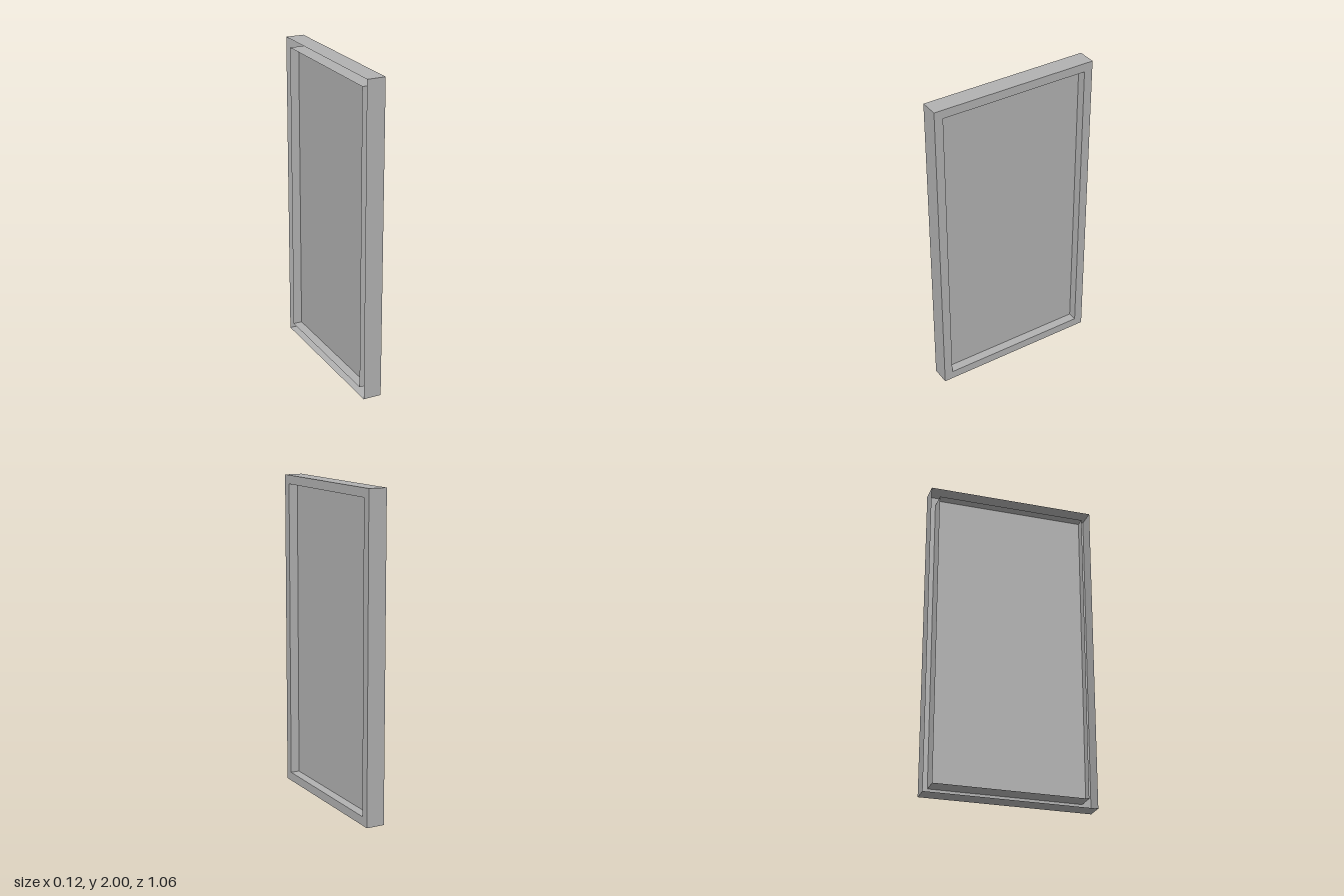
import * as THREE from 'three';

const DEPTH = 0.116, HEIGHT = 2, WIDTH = 1.06, BORDER = 0.055;

export function createModel() {
  const group = new THREE.Group();
  const grey = new THREE.MeshStandardMaterial({ color: 0xb2b2b2, side: THREE.DoubleSide });
  grey.name = 'plain grey';

  const add = (name, geometry) => {
    const mesh = new THREE.Mesh(geometry, grey);
    mesh.name = name;
    group.add(mesh);
    return mesh;
  };

  // Four thin walls around a rectangle; dir = 1 faces outward, -1 faces inward
  const sleeve = (name, w, h, dir) => {
    for (const s of [1, -1]) {
      const side = add(name + (s > 0 ? 'FrontWall' : 'BackWall'), new THREE.PlaneGeometry(DEPTH, h));
      side.rotation.y = s * dir > 0 ? 0 : Math.PI;
      side.position.set(0, HEIGHT / 2, s * w / 2);

      const level = add(name + (s > 0 ? 'TopWall' : 'BottomWall'), new THREE.PlaneGeometry(DEPTH, w));
      level.rotation.x = -s * dir * Math.PI / 2;
      level.position.set(0, HEIGHT / 2 + s * h / 2, 0);
    }
  };

  const innerW = WIDTH - 2 * BORDER, innerH = HEIGHT - 2 * BORDER;
  sleeve('outer', WIDTH, HEIGHT, 1);
  sleeve('recess', innerW, innerH, -1);

  // Frame border on the +x side; the -x side of the frame is open
  const rect = (Type, w, h) => new Type([
    new THREE.Vector2(-w / 2, -h / 2), new THREE.Vector2(w / 2, -h / 2),
    new THREE.Vector2(w / 2, h / 2), new THREE.Vector2(-w / 2, h / 2),
  ]);
  const border = rect(THREE.Shape, WIDTH, HEIGHT);
  border.holes.push(rect(THREE.Path, innerW, innerH));
  const face = add('frameBorder', new THREE.ShapeGeometry(border));
  face.rotation.y = Math.PI / 2;
  face.position.set(DEPTH / 2, HEIGHT / 2, 0);

  // Thin panel in the middle of the frame
  const panel = add('panel', new THREE.PlaneGeometry(innerW, innerH));
  panel.rotation.y = Math.PI / 2;
  panel.position.set(0, HEIGHT / 2, 0);

  return group;
}
